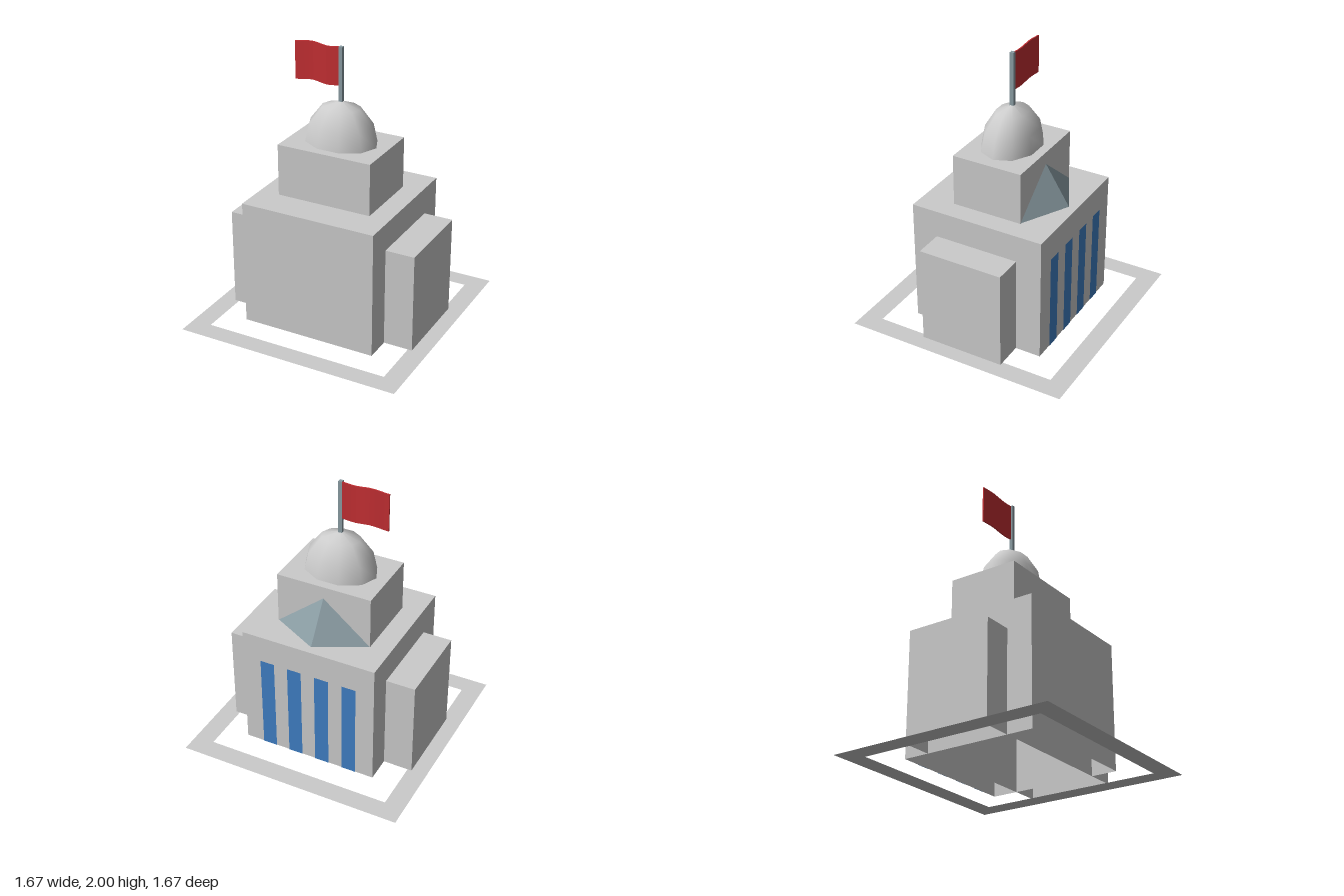
import * as THREE from 'three';

const mat = (color, flatShading = true) =>
  new THREE.MeshStandardMaterial({ color, flatShading, side: THREE.DoubleSide });
const grey = mat(0xcccccc), slate = mat(0x8a9ca3), blue = mat(0x3f7fc4), red = mat(0xc42f33);

export function createModel() {
  const model = new THREE.Group();
  const add = (name, geometry, material) => {
    const mesh = new THREE.Mesh(geometry, material);
    mesh.name = name;
    model.add(mesh);
    return mesh;
  };

  // Box without a floor, standing on y0
  const shell = (name, w, y0, y1, d) => {
    const g = new THREE.BoxGeometry(w, y1 - y0, d).translate(0, (y0 + y1) / 2, 0);
    g.setIndex([...g.index.array].filter((_, i) => i < 18 || i >= 24));
    return add(name, g, grey);
  };
  shell('mainBlock', 1.01, 0, 0.93, 1.01);
  shell('sideWings', 1.44, 0, 0.73, 0.63); // runs through the main block
  shell('upperBlock', 0.71, 0.93, 1.31, 0.525);

  // Flat square path around the building
  const square = (r) => [[-r, -r], [r, -r], [r, r], [-r, r]].map(([x, y]) => new THREE.Vector2(x, y));
  const path = new THREE.Shape(square(0.835));
  path.holes.push(new THREE.Path(square(0.69)));
  add('groundPath', new THREE.ShapeGeometry(path).rotateX(-Math.PI / 2), grey);

  // Tall window strips on the back wall
  for (const x of [-0.315, -0.105, 0.105, 0.315]) {
    add('backWindow', new THREE.PlaneGeometry(0.107, 0.73).rotateY(Math.PI).translate(x, 0.365, -0.508), blue);
  }

  // Half pyramid leaning on the back of the upper block
  const skylight = new THREE.BufferGeometry();
  skylight.setAttribute('position', new THREE.Float32BufferAttribute([
    0, 1.22, -0.263, 0.352, 0.932, -0.263, 0, 0.932, -0.447,
    0, 1.22, -0.263, 0, 0.932, -0.447, -0.352, 0.932, -0.263,
  ], 3));
  skylight.computeVertexNormals();
  add('skylight', skylight, slate);

  // Oval ten-sided dome
  const profile = [[0.27, 1.31], [0.24, 1.44], [0.143, 1.565], [0, 1.612]]
    .map(([r, y]) => new THREE.Vector2(r, y));
  const dome = add('dome', new THREE.LatheGeometry(profile, 10, Math.PI / 2), mat(0xcccccc, false));
  dome.scale.z = 0.765;

  // Flagpole and waving flag
  add('flagpole', new THREE.BoxGeometry(0.028, 0.4, 0.028).translate(0, 1.796, 0), slate);
  const flag = new THREE.BoxGeometry(0.345, 0.276, 0.01, 10, 1, 1).translate(-0.1825, 1.852, -0.004);
  const p = flag.attributes.position;
  for (let i = 0; i < p.count; i++) {
    const wave = Math.cos((p.getX(i) + 0.23) * 2 * Math.PI / 0.26);
    p.setY(i, p.getY(i) + 0.007 * wave);
    p.setZ(i, p.getZ(i) - 0.003 * wave);
  }
  flag.computeVertexNormals();
  add('flag', flag, red);

  return model;
}
